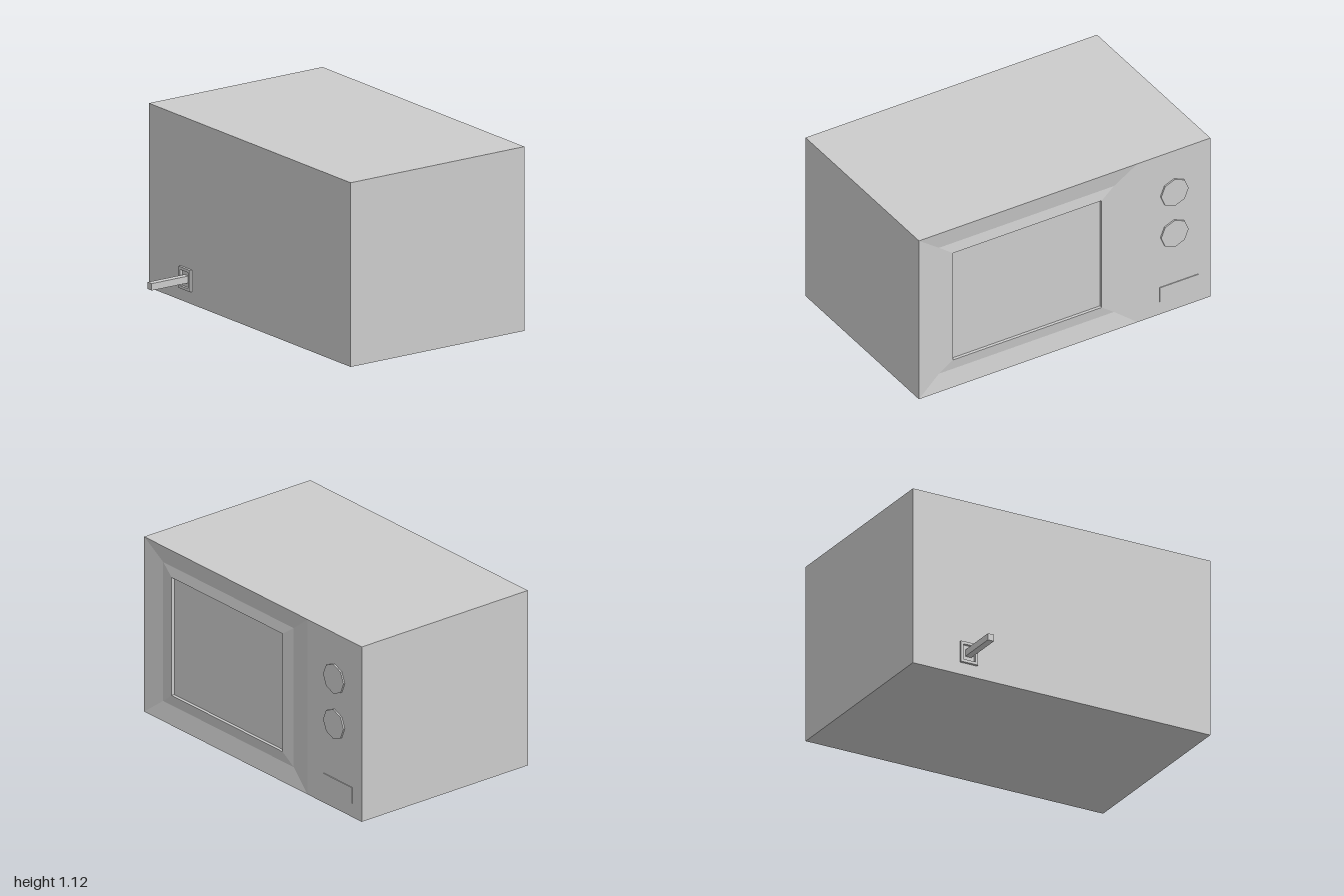
import * as THREE from 'three';

const material = new THREE.MeshStandardMaterial({ color: 0xcccccc, flatShading: true });

function add(group, name, geometry, x = 0, y = 0, z = 0) {
  const mesh = new THREE.Mesh(geometry, material);
  mesh.name = name;
  mesh.position.set(x, y, z);
  group.add(mesh);
  return mesh;
}

// Joins rectangles [x, zMin, zMax, yMin, yMax] into a faceted skin facing outward
function loftRects(rects, capStart, capEnd) {
  const rings = rects.map(([x, z0, z1, y0, y1]) => [[x, y0, z1], [x, y0, z0], [x, y1, z0], [x, y1, z1]]);
  const points = [];
  const quad = (a, b, c, d) => points.push(...a, ...b, ...c, ...a, ...c, ...d);
  for (let r = 0; r < rings.length - 1; r++) {
    const a = rings[r], b = rings[r + 1];
    for (let i = 0; i < 4; i++) {
      const j = (i + 1) % 4;
      quad(a[i], a[j], b[j], b[i]);
    }
  }
  const first = rings[0], last = rings[rings.length - 1];
  if (capStart) quad(first[3], first[2], first[1], first[0]);
  if (capEnd) quad(last[0], last[1], last[2], last[3]);
  const geometry = new THREE.BufferGeometry();
  geometry.setAttribute('position', new THREE.Float32BufferAttribute(points, 3));
  geometry.computeVertexNormals();
  return geometry;
}

export function createModel() {
  const model = new THREE.Group();
  model.name = 'microwaveOven';
  const H = 1.12, FRONT = 0.75, BACK = -0.5;

  // Casing, open where the door and control panel sit
  add(model, 'casing', loftRects([[BACK, -1, 1, 0, H], [FRONT, -1, 1, 0, H]], true, false));

  // Door: shallow groove around a raised rim, with a recessed window
  add(model, 'door', loftRects([
    [FRONT, -0.5, 1, 0, H],
    [0.73, -0.35, 0.85, 0.115, 1.005],
    [0.74, -0.26, 0.76, 0.185, 0.94],
    [0.72, -0.26, 0.76, 0.185, 0.94],
  ], false, true));

  // Control panel
  add(model, 'controlPanel', loftRects([[FRONT, -1, -0.5, 0, H]], false, true));

  // Octagonal knobs
  for (const y of [0.83, 0.54]) {
    const knob = new THREE.CylinderGeometry(0.094, 0.094, 0.02, 8).rotateZ(-Math.PI / 2);
    add(model, 'knob', knob, FRONT, y, -0.75);
  }

  // Door release button
  add(model, 'doorButton', new THREE.BoxGeometry(0.01, 0.1, 0.265), FRONT, 0.14, -0.783);

  // Cord socket frame on the back
  const frame = new THREE.Shape([[-0.057, -0.066], [0.057, -0.066], [0.057, 0.066], [-0.057, 0.066]]
    .map(([x, y]) => new THREE.Vector2(x, y)));
  frame.holes.push(new THREE.Path([[-0.04, -0.049], [-0.04, 0.049], [0.04, 0.049], [0.04, -0.049]]
    .map(([x, y]) => new THREE.Vector2(x, y))));
  const frameGeometry = new THREE.ExtrudeGeometry(frame, { depth: 0.016, bevelEnabled: false })
    .rotateY(-Math.PI / 2);
  add(model, 'cordSocket', frameGeometry, BACK, 0.143, -0.628);

  // Power cord stub
  add(model, 'powerCord', new THREE.BoxGeometry(0.265, 0.042, 0.04), BACK - 0.1315, 0.143, -0.628);

  return model;
}
